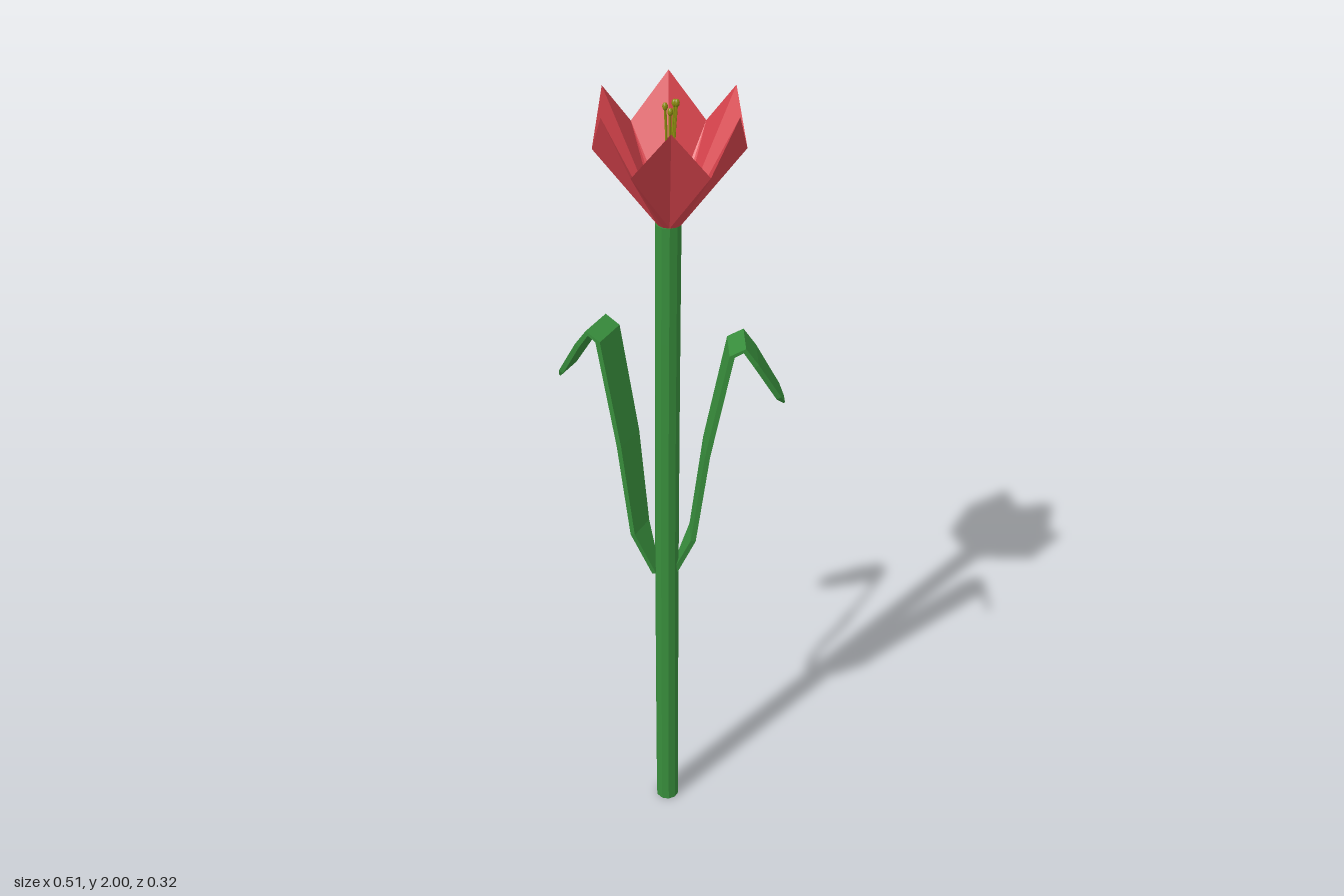
import * as THREE from 'three';

const material = (color) => new THREE.MeshStandardMaterial({ color, flatShading: true, side: THREE.DoubleSide });
const green = material(0x388e3c);
const red = material(0xd9444d);
const olive = material(0x8a8a10);
const CX = 0.02; // x of the stem axis
const STEM_TOP = 1.72;

function mesh(name, geometry, mat) {
  const m = new THREE.Mesh(geometry, mat);
  m.name = name;
  return m;
}

function fromTriangles(points) {
  const g = new THREE.BufferGeometry().setFromPoints(points);
  g.computeVertexNormals();
  return g;
}

// Slightly bowed stem
function makeStem() {
  const g = new THREE.CylinderGeometry(0.029, 0.029, STEM_TOP, 10, 6);
  g.translate(0, STEM_TOP / 2, 0);
  const p = g.attributes.position;
  for (let i = 0; i < p.count; i++) {
    const t = p.getY(i) / STEM_TOP;
    p.setZ(i, p.getZ(i) - 0.003 + 0.005 * t + 0.004 * Math.sin(Math.PI * t));
  }
  g.computeVertexNormals();
  const stem = mesh('stem', g, green);
  stem.position.x = CX - 0.002;
  return stem;
}

// Leaf along +x: [reach, height, half width] for each section
const LEAF = [
  [0.025, 0.77, 0.01], [0.07, 0.89, 0.035], [0.1, 1.14, 0.042], [0.15, 1.41, 0.044],
  [0.178, 1.425, 0.044], [0.205, 1.385, 0.044], [0.26, 1.29, 0.03], [0.274, 1.268, 0.014],
];

function makeLeaf(name, x, z, angle) {
  const rings = LEAF.map(([r, y, w], i) => {
    const a = LEAF[Math.max(i - 1, 0)], b = LEAF[Math.min(i + 1, LEAF.length - 1)];
    const n = new THREE.Vector2(-(b[1] - a[1]), b[0] - a[0]).normalize();
    const t = i === LEAF.length - 1 ? 0.002 : 0.006;
    return [[1, -1], [1, 1], [-1, 1], [-1, -1]].map(([s, side]) =>
      new THREE.Vector3(r + n.x * t * s, y + n.y * t * s, w * side));
  });
  const tris = [];
  const quad = (a, b, c, d) => tris.push(a, b, c, a, c, d);
  for (let i = 0; i < rings.length - 1; i++) {
    for (let k = 0; k < 4; k++) {
      const j = (k + 1) % 4;
      quad(rings[i][k], rings[i][j], rings[i + 1][j], rings[i + 1][k]);
    }
  }
  const last = rings[rings.length - 1];
  quad(rings[0][3], rings[0][2], rings[0][1], rings[0][0]);
  quad(last[0], last[1], last[2], last[3]);
  const leaf = mesh(name, fromTriangles(tris), green);
  leaf.position.set(x, 0, z);
  leaf.rotation.y = angle;
  return leaf;
}

// Six folded petals: tips alternate with lower notches
function makeFlower() {
  const flower = new THREE.Group();
  flower.name = 'flower';
  const at = (r, y, deg) => {
    const a = THREE.MathUtils.degToRad(deg);
    return new THREE.Vector3(r * Math.cos(a), y, r * Math.sin(a));
  };
  for (let i = 0; i < 6; i++) {
    const mid = i * 60, tris = [];
    const tip = at(0.161, 1.995, mid), base = at(0.028, STEM_TOP, mid);
    for (const s of [-30, 30]) {
      const notch = at(0.161, 1.89, mid + s), foot = at(0.028, STEM_TOP, mid + s);
      if (s < 0) tris.push(base, foot, notch, base, notch, tip);
      else tris.push(base, notch, foot, base, tip, notch);
    }
    flower.add(mesh('petal', fromTriangles(tris), red));
  }
  const floor = mesh('flowerBase', new THREE.CylinderGeometry(0.029, 0.028, 0.006, 12), red);
  floor.position.y = STEM_TOP + 0.004;
  flower.add(floor);

  // Stamens with small anthers
  for (const [x, y, z] of [[0.002, 1.985, -0.016], [0.012, 1.99, -0.008], [0.011, 1.98, 0.018], [-0.006, 1.985, 0.009]]) {
    const curve = new THREE.QuadraticBezierCurve3(
      new THREE.Vector3(x * 0.3, STEM_TOP, z * 0.3),
      new THREE.Vector3(x * 0.4, 1.88, z * 0.4),
      new THREE.Vector3(x, y, z));
    flower.add(mesh('stamen', new THREE.TubeGeometry(curve, 5, 0.003, 5), olive));
    const anther = mesh('anther', new THREE.IcosahedronGeometry(0.006, 1), olive);
    anther.scale.y = 1.5;
    anther.position.set(x, y, z);
    flower.add(anther);
  }
  flower.position.x = CX;
  return flower;
}

export function createModel() {
  const model = new THREE.Group();
  model.name = 'flowerPlant';
  model.add(makeStem());
  model.add(makeLeaf('rightLeaf', CX, 0.016, Math.PI));
  model.add(makeLeaf('leftLeaf', 0.011, 0.008, THREE.MathUtils.degToRad(31)));
  model.add(makeFlower());
  return model;
}
